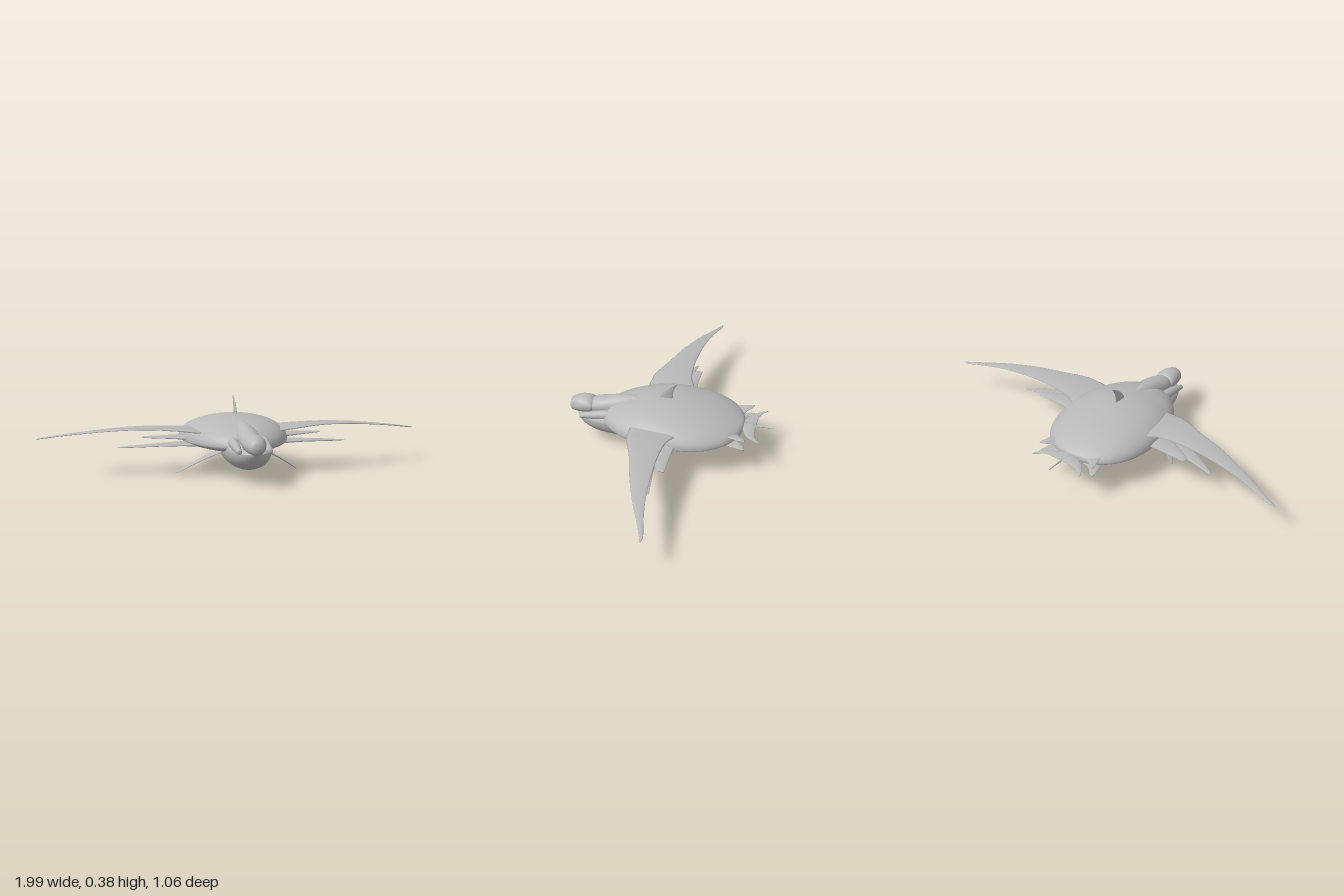
import * as THREE from 'three';

const hull = new THREE.MeshStandardMaterial({ color: 0xb8b8b8 });
hull.name = 'hull grey';

// Smoothly resample rows of section values
function smooth(rows, per = 6) {
  const size = rows[0].length;
  const curve = new THREE.CubicInterpolant(rows.map((_, i) => i), rows.flat(), size, new Float32Array(size));
  const n = (rows.length - 1) * per;
  return Array.from({ length: n + 1 }, (_, i) => Array.from(curve.evaluate(i / per)));
}

// Skin a list of closed rings and cap both ends
function skin(rings) {
  const m = rings[0].length, pos = rings.flat(2), index = [];
  for (let i = 0; i < rings.length - 1; i++) {
    for (let j = 0; j < m; j++) {
      const a = i * m + j, b = i * m + (j + 1) % m;
      index.push(a, a + m, b, b, a + m, b + m);
    }
  }
  const last = (rings.length - 1) * m;
  for (let j = 1; j < m - 1; j++) {
    index.push(0, j, j + 1, last, last + j + 1, last + j);
  }
  const g = new THREE.BufferGeometry();
  g.setAttribute('position', new THREE.Float32BufferAttribute(pos, 3));
  g.setIndex(index);
  g.computeVertexNormals();
  return g;
}

// Body from front to back; rows are [z, centre y, half width, height above, depth below]
function body(rows, sides = 40) {
  return skin(smooth(rows).map(([z, y, w, up, down]) =>
    Array.from({ length: sides }, (_, j) => {
      const a = j / sides * Math.PI * 2, s = Math.sin(a);
      return [Math.max(w, 0.001) * Math.cos(a), y + s * Math.max(s > 0 ? up : down, 0.001), z];
    })));
}

// Fin along +x; rows are [x, y, leading z, trailing z, thickness]
function fin(rows, sides = 16) {
  return skin(smooth(rows).map(([x, y, lead, trail, t]) =>
    Array.from({ length: sides }, (_, j) => {
      const a = j / sides * Math.PI * 2;
      return [x, y + Math.sin(a) * t / 2, (lead + trail) / 2 + Math.cos(a) * (lead - trail) / 2];
    })));
}

// Mirrored copy with its faces turned outward again
function mirror(g) {
  const c = g.clone().scale(-1, 1, 1), idx = c.index.array;
  for (let i = 0; i < idx.length; i += 3) [idx[i], idx[i + 1]] = [idx[i + 1], idx[i]];
  c.computeVertexNormals();
  return c;
}

export function createModel() {
  const model = new THREE.Group();
  model.name = 'wingedCraft';
  const add = (name, g) => {
    const mesh = new THREE.Mesh(g, hull);
    mesh.name = name;
    model.add(mesh);
  };
  const pair = (name, g) => {
    add(name + 'Left', g);
    add(name + 'Right', mirror(g));
  };

  // Broad domed shell
  add('shell', body([
    [0.335, 0.165, 0.09, 0.03, 0.02], [0.3, 0.165, 0.135, 0.062, 0.03],
    [0.25, 0.165, 0.18, 0.085, 0.036], [0.18, 0.165, 0.222, 0.104, 0.04],
    [0.08, 0.165, 0.258, 0.122, 0.042], [-0.03, 0.165, 0.272, 0.124, 0.042],
    [-0.13, 0.165, 0.267, 0.113, 0.04], [-0.22, 0.165, 0.243, 0.095, 0.035],
    [-0.3, 0.168, 0.195, 0.067, 0.028], [-0.35, 0.17, 0.135, 0.044, 0.02],
    [-0.375, 0.172, 0.07, 0.028, 0.012], [-0.385, 0.174, 0.002, 0.012, 0.006]]));

  // Deep rounded belly
  add('belly', body([
    [0.492, 0.155, 0.008, 0.003, 0.004], [0.475, 0.153, 0.04, 0.01, 0.03],
    [0.44, 0.15, 0.074, 0.025, 0.06], [0.38, 0.15, 0.1, 0.046, 0.084],
    [0.31, 0.15, 0.11, 0.06, 0.096], [0.22, 0.15, 0.112, 0.05, 0.1],
    [0.1, 0.15, 0.108, 0.04, 0.092], [-0.05, 0.15, 0.097, 0.03, 0.069],
    [-0.2, 0.15, 0.075, 0.025, 0.04], [-0.35, 0.16, 0.03, 0.015, 0.025]]));

  // Blunt head and the raised neck behind it
  add('head', body([
    [0.53, 0.188, 0.004, 0.004, 0.004], [0.523, 0.188, 0.027, 0.028, 0.026],
    [0.505, 0.19, 0.041, 0.042, 0.037], [0.47, 0.196, 0.053, 0.047, 0.044],
    [0.43, 0.2, 0.058, 0.043, 0.045], [0.405, 0.2, 0.054, 0.032, 0.04],
    [0.39, 0.2, 0.03, 0.014, 0.03]]));
  add('neck', body([
    [0.42, 0.195, 0.04, 0.025, 0.03], [0.39, 0.2, 0.052, 0.041, 0.04],
    [0.33, 0.205, 0.054, 0.05, 0.04], [0.25, 0.21, 0.05, 0.061, 0.04],
    [0.17, 0.215, 0.03, 0.058, 0.03], [0.13, 0.22, 0.01, 0.04, 0.02]]));

  // Slim cheek ridges running from the head to the shell
  pair('cheekRidge', body([
    [0.46, 0.165, 0.012, 0.012, 0.012], [0.4, 0.175, 0.02, 0.02, 0.02],
    [0.33, 0.185, 0.025, 0.026, 0.025], [0.26, 0.19, 0.02, 0.025, 0.02]], 20)
    .translate(0.075, 0, 0));

  // Long drooping main wings
  pair('mainWing', fin([
    [0.18, 0.215, 0.165, -0.1, 0.022], [0.25, 0.221, 0.16, -0.07, 0.02],
    [0.32, 0.228, 0.15, -0.045, 0.016], [0.45, 0.232, 0.103, -0.036, 0.013],
    [0.6, 0.226, 0.062, -0.04, 0.011], [0.75, 0.211, 0.012, -0.052, 0.009],
    [0.88, 0.193, -0.042, -0.075, 0.008], [0.96, 0.18, -0.073, -0.093, 0.007],
    [0.995, 0.175, -0.085, -0.089, 0.004]]));

  // Square-tipped middle fins
  pair('middleFin', fin([
    [0.2, 0.175, 0.08, -0.09, 0.024], [0.28, 0.175, 0.055, -0.078, 0.018],
    [0.37, 0.174, 0.01, -0.074, 0.012], [0.44, 0.173, -0.025, -0.074, 0.008],
    [0.468, 0.173, -0.04, -0.073, 0.004]]));

  // Lower wings
  pair('lowerWing', fin([
    [0.18, 0.15, 0.15, 0, 0.024], [0.28, 0.15, 0.115, -0.005, 0.017],
    [0.4, 0.144, 0.075, -0.01, 0.012], [0.52, 0.135, 0.025, -0.022, 0.009],
    [0.595, 0.128, -0.02, -0.03, 0.004]]));

  // Belly fins sweeping down and back
  pair('bellyFin', fin([
    [0.08, 0.135, 0.215, 0.13, 0.014], [0.15, 0.106, 0.185, 0.115, 0.013],
    [0.22, 0.066, 0.145, 0.088, 0.01], [0.28, 0.026, 0.1, 0.063, 0.008],
    [0.308, 0.004, 0.07, 0.054, 0.004]]));

  // Upright dorsal fin
  add('dorsalFin', fin([
    [0.27, 0, 0.07, -0.012, 0.014], [0.295, 0, 0.055, -0.012, 0.012],
    [0.325, 0, 0.035, -0.014, 0.01], [0.355, 0, 0.005, -0.025, 0.008],
    [0.372, 0, -0.022, -0.035, 0.006], [0.379, 0, -0.034, -0.038, 0.003]])
    .rotateZ(Math.PI / 2));

  // Rear flaps, one above the other on each side
  for (const [name, y, tip] of [['upperRearFlap', 0.178, 0.195], ['lowerRearFlap', 0.155, 0.146]]) {
    pair(name, fin([
      [0.07, y, -0.31, -0.365, 0.014], [0.11, (y + tip) / 2, -0.305, -0.372, 0.012],
      [0.145, tip, -0.315, -0.403, 0.009], [0.168, tip, -0.39, -0.41, 0.004]]));
  }

  // Crescent tail fluke, stem and spike
  pair('tailFluke', fin([
    [0, 0.182, -0.36, -0.444, 0.014], [0.04, 0.182, -0.378, -0.442, 0.011],
    [0.08, 0.182, -0.395, -0.445, 0.009], [0.115, 0.182, -0.422, -0.458, 0.007],
    [0.148, 0.182, -0.475, -0.482, 0.004]]));
  add('tailStem', body([
    [-0.34, 0.172, 0.04, 0.025, 0.025], [-0.39, 0.175, 0.025, 0.018, 0.02],
    [-0.43, 0.18, 0.008, 0.008, 0.008]], 20));
  add('tailSpike', body([
    [-0.41, 0.182, 0.004, 0.004, 0.004], [-0.47, 0.182, 0.004, 0.004, 0.004],
    [-0.53, 0.182, 0.002, 0.002, 0.002]], 10));

  return model;
}
